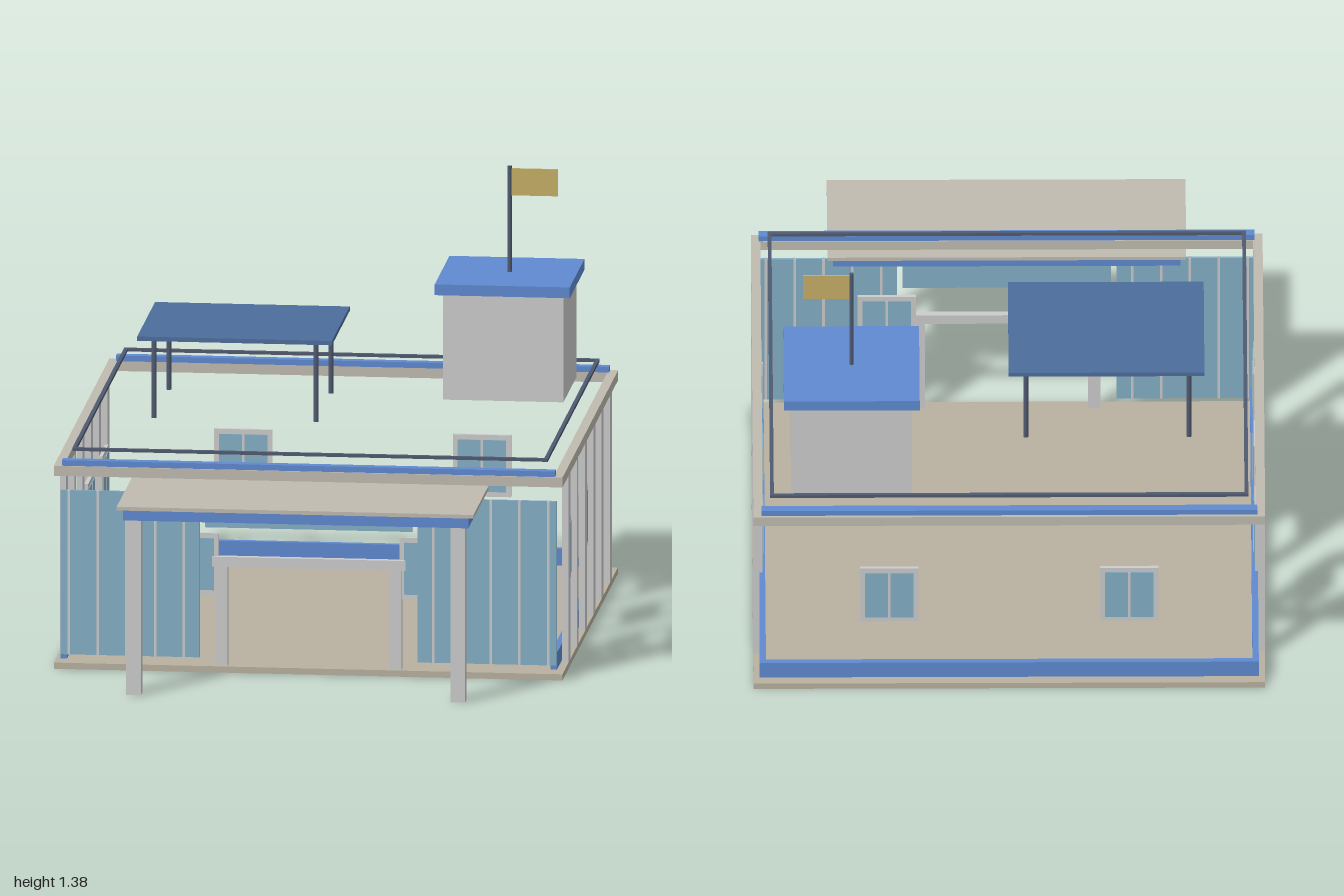
import * as THREE from 'three';

const mat = (color) => new THREE.MeshStandardMaterial({ color });

export function createModel() {
  const root = new THREE.Group();
  const grey = mat(0xcccccc), stone = mat(0xb8b1a0), trim = mat(0xbfbbb0);
  const blue = mat(0x5f8ad0), deepBlue = mat(0x4a6fb8), canopyBlue = mat(0x4d6d9c);
  const glass = mat(0x84aec6), dark = mat(0x505a70), gold = mat(0xc4ae66);

  // Box given by its extents on each axis
  const box = (name, m, [x0, x1], [y0, y1], [z0, z1], parent = root) => {
    const mesh = new THREE.Mesh(new THREE.BoxGeometry(x1 - x0, y1 - y0, z1 - z0), m);
    mesh.position.set((x0 + x1) / 2, (y0 + y1) / 2, (z0 + z1) / 2);
    mesh.name = name;
    parent.add(mesh);
    return mesh;
  };
  // Upright round pole
  const pole = (name, x, z, y0, y1, r) => {
    const mesh = new THREE.Mesh(new THREE.CylinderGeometry(r, r, y1 - y0, 10), dark);
    mesh.position.set(x, (y0 + y1) / 2, z);
    mesh.name = name;
    root.add(mesh);
  };
  // Rectangular ring of four bars
  const ring = (name, m, x, y, [z0, z1], wx, wz) => {
    const g = new THREE.Group();
    g.name = name;
    root.add(g);
    box(name + 'Front', m, [-x, x], y, [z1 - wz, z1], g);
    box(name + 'Back', m, [-x, x], y, [z0, z0 + wz], g);
    for (const s of [-1, 1]) {
      const c = s * (x - wx / 2);
      box(name + 'Side', m, [c - wx / 2, c + wx / 2], y, [z0 + wz, z1 - wz], g);
    }
  };
  // Framed window with two panes showing on both faces
  const windowUnit = (x, z, turn) => {
    const g = new THREE.Group();
    g.name = 'window';
    g.position.set(x, 0.345, z);
    g.rotation.y = turn;
    box('windowFrame', grey, [-0.0925, 0.0925], [-0.1, 0.1], [-0.006, 0.006], g);
    box('windowPanes', glass, [-0.077, 0.077], [-0.084, 0.084], [-0.009, 0.009], g);
    box('windowBar', grey, [-0.004, 0.004], [-0.084, 0.084], [-0.011, 0.011], g);
    root.add(g);
  };

  // Floor slab and skirting on the sides and back
  box('floorSlab', stone, [-0.81, 0.81], [0, 0.02], [-0.99, 0.62]);
  box('backSkirting', blue, [-0.79, 0.79], [0.03, 0.085], [-0.97, -0.95]);
  for (const s of [-1, 1]) {
    const c = s * 0.78;
    box('sideSkirting', blue, [c - 0.01, c + 0.01], [0.03, 0.085], [-0.95, 0.6]);
  }

  // Side columns and windows
  for (const s of [-1, 1]) {
    const c = s * 0.8;
    for (let i = 0; i < 6; i++) {
      const z = 0.418 - i * 0.241;
      box('sideColumn', grey, [c - 0.01, c + 0.01], [0.02, 0.625], [z - 0.0275, z + 0.0275]);
    }
    for (const z of [0.23, -0.185, -0.6]) windowUnit(s * 0.785, z, Math.PI / 2);
    windowUnit(s * 0.38, -0.968, 0);
    windowUnit(s * 0.38, 0.588, 0);
  }

  // Roof ring, blue parapet strips and thin rail
  ring('roofBeam', trim, 0.81, [0.625, 0.657], [-1, 0.62], 0.03, 0.04);
  box('frontParapet', blue, [-0.785, 0.785], [0.657, 0.675], [0.583, 0.615]);
  box('backParapet', blue, [-0.785, 0.785], [0.657, 0.675], [-0.99, -0.96]);
  ring('roofRail', dark, 0.757, [0.695, 0.705], [-0.945, 0.565], 0.012, 0.012);

  // Glazed front with mullions
  for (const s of [-1, 1]) {
    box('frontGlass', glass, s < 0 ? [-0.79, -0.347] : [0.347, 0.79], [0.045, 0.577], [0.6, 0.608]);
    for (let i = 0; i < 5; i++) {
      const x = s * (0.763 - i * 0.0915);
      box('frontMullion', grey, [x - 0.004, x + 0.004], [0.045, 0.577], [0.599, 0.611]);
    }
  }
  box('transomGlass', glass, [-0.33, 0.33], [0.467, 0.577], [0.6, 0.608]);
  box('signPanel', deepBlue, [-0.275, 0.275], [0.497, 0.567], [0.608, 0.613]);
  box('signBar', grey, [-0.235, 0.235], [0.52, 0.537], [0.613, 0.617]);

  // Doorway
  for (const s of [-1, 1]) {
    const x = s * 0.277;
    box('doorPost', grey, [x - 0.019, x + 0.019], [0.02, 0.34], [0.585, 0.607]);
  }
  box('doorLintel', grey, [-0.308, 0.308], [0.34, 0.372], [0.585, 0.607]);

  // Entrance canopy
  box('canopyRoof', trim, [-0.568, 0.568], [0.6, 0.612], [0.555, 1]);
  box('canopyFascia', blue, [-0.55, 0.55], [0.565, 0.6], [0.575, 0.985]);
  for (const s of [-1, 1]) {
    const x = s * 0.516;
    box('canopyPost', grey, [x - 0.0235, x + 0.0235], [0, 0.565], [0.937, 0.984]);
  }

  // Rooftop shade
  box('shadeRoof', canopyBlue, [-0.62, 0], [0.918, 0.932], [-0.59, -0.07]);
  for (const x of [-0.571, -0.055])
    for (const z of [-0.117, -0.543]) pole('shadePost', x, z, 0.66, 0.918, 0.008);

  // Tower with flag
  box('tower', grey, [0.307, 0.69], [0.657, 1], [-0.875, -0.5]);
  box('towerRoof', blue, [0.283, 0.713], [1, 1.035], [-0.905, -0.475]);
  pole('flagPole', 0.498, -0.69, 1.035, 1.378, 0.007);
  box('flag', gold, [0.505, 0.652], [1.283, 1.37], [-0.693, -0.687]);

  return root;
}
